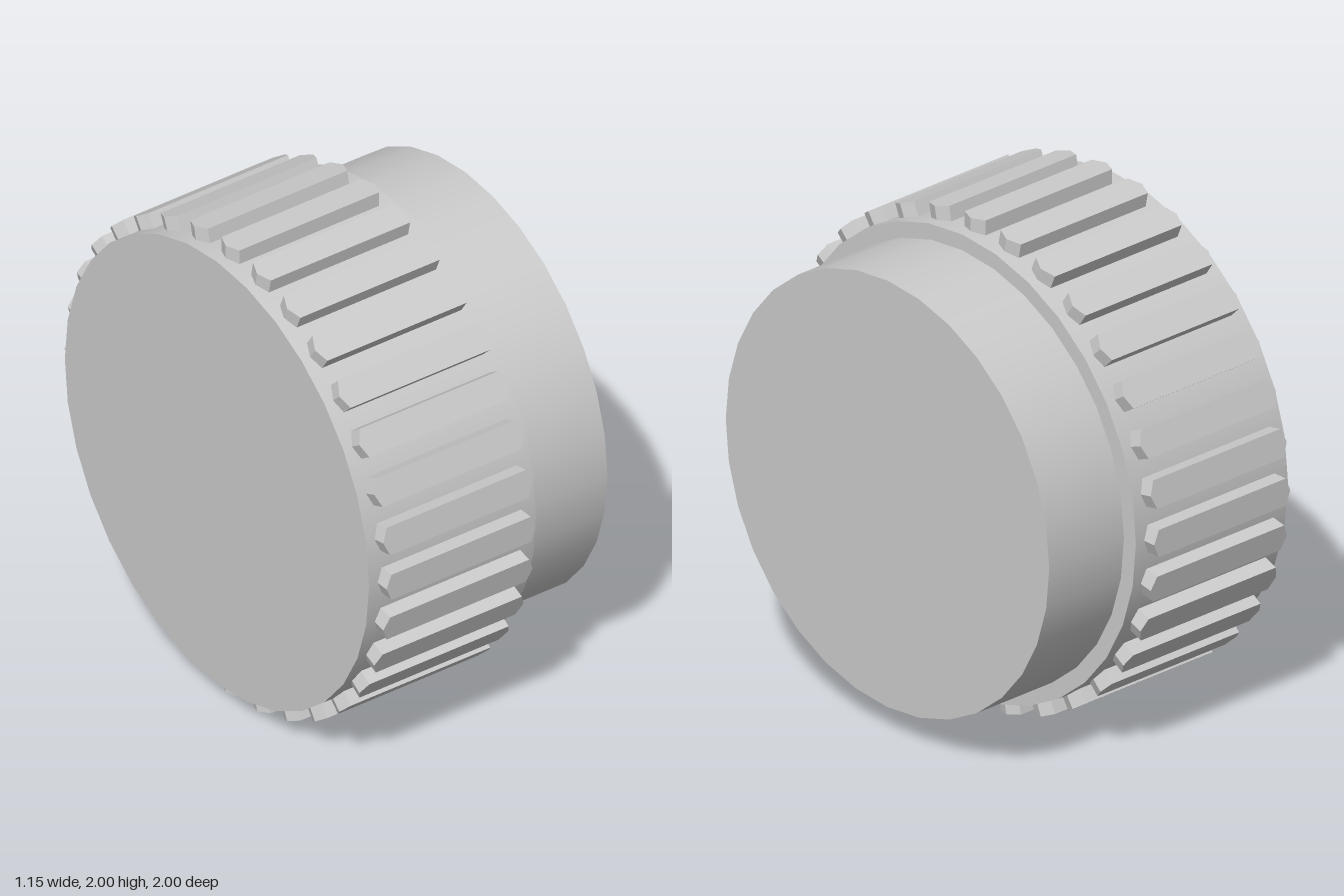
import * as THREE from 'three';

const SIDES = 32;
const material = new THREE.MeshStandardMaterial({ color: 0xcccccc });

// Drum lying along x between x0 and x1
function drum(name, radius, x0, x1) {
  const geometry = new THREE.CylinderGeometry(radius, radius, x1 - x0, SIDES);
  geometry.rotateZ(-Math.PI / 2);
  const mesh = new THREE.Mesh(geometry, material);
  mesh.name = name;
  mesh.position.x = (x0 + x1) / 2;
  return mesh;
}

// Grip rib: long hexagon with pointed ends, raised radially along +y
function ribGeometry(x0, x1, tip, halfWidth, inner, outer) {
  const outline = new THREE.Shape([
    [x0, 0], [x0 + tip, -halfWidth], [x1 - tip, -halfWidth],
    [x1, 0], [x1 - tip, halfWidth], [x0 + tip, halfWidth],
  ].map(([x, z]) => new THREE.Vector2(x, z)));
  const geometry = new THREE.ExtrudeGeometry(outline, { depth: outer - inner, bevelEnabled: false });
  geometry.rotateX(-Math.PI / 2);
  geometry.translate(0, inner, 0);
  return geometry;
}

export function createModel() {
  const knob = new THREE.Group();
  knob.name = 'knob';
  knob.position.y = 1;

  // Wide grip and the narrower collar beside it
  knob.add(drum('gripBody', 0.945, -0.577, 0.197));
  knob.add(drum('collar', 0.88, 0.15, 0.577));

  // Ring of ribs
  const ribs = new THREE.Group();
  ribs.name = 'gripRibs';
  const geometry = ribGeometry(-0.537, 0.155, 0.023, 0.056, 0.92, 1);
  for (let i = 0; i < SIDES; i++) {
    const rib = new THREE.Mesh(geometry, material);
    rib.name = 'gripRib';
    rib.rotation.x = (i / SIDES) * Math.PI * 2;
    ribs.add(rib);
  }
  knob.add(ribs);

  const model = new THREE.Group();
  model.name = 'ribbedKnob';
  model.add(knob);
  return model;
}
